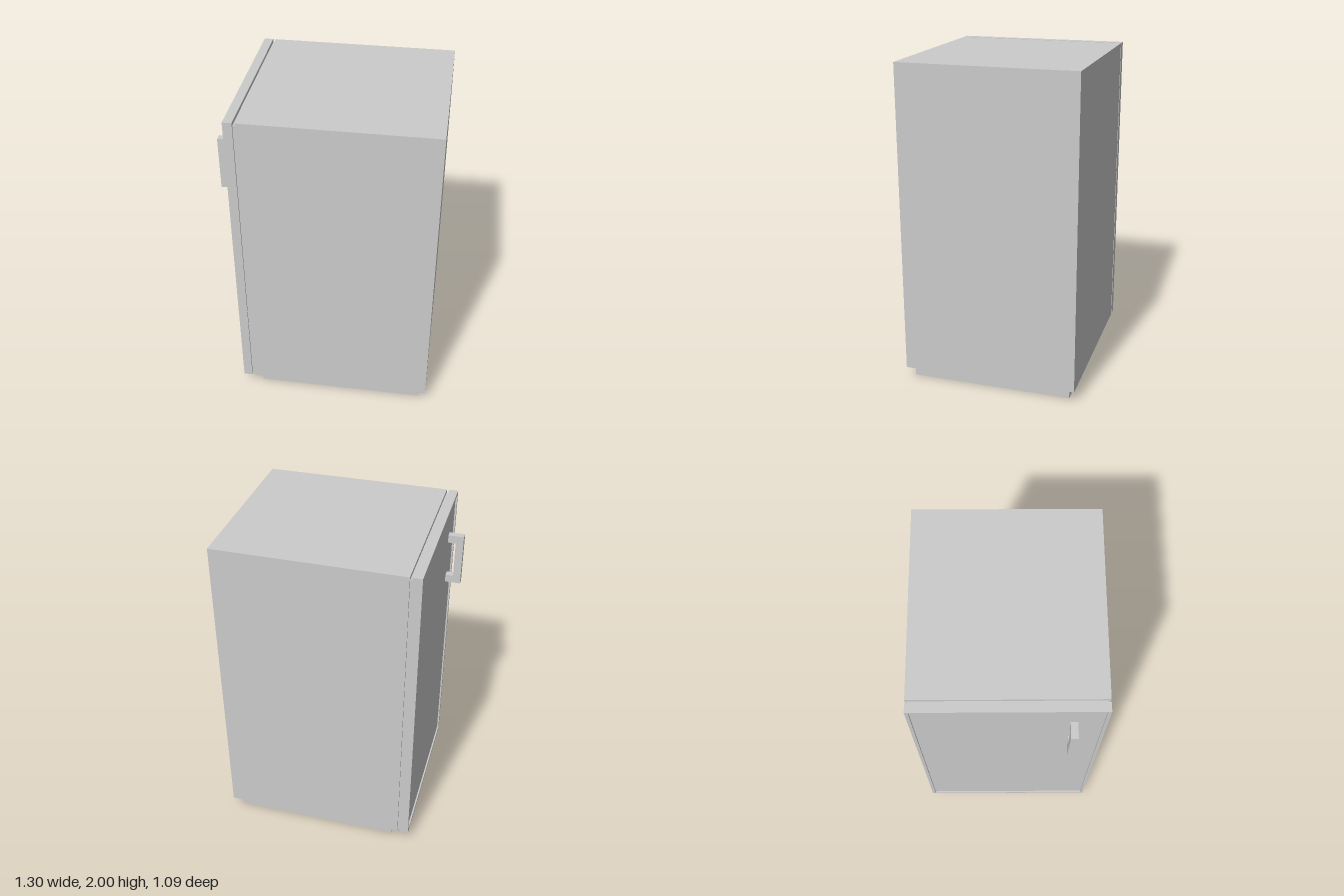
import * as THREE from 'three';

const material = new THREE.MeshStandardMaterial({ color: 0xcccccc, flatShading: true });

// Box given by its minimum and maximum corners
function box(name, [x0, y0, z0], [x1, y1, z1]) {
  const mesh = new THREE.Mesh(new THREE.BoxGeometry(x1 - x0, y1 - y0, z1 - z0), material);
  mesh.position.set((x0 + x1) / 2, (y0 + y1) / 2, (z0 + z1) / 2);
  mesh.name = name;
  return mesh;
}

// Rectangle outline, used for both the door edge and its opening
function rectangle(Type, x0, y0, x1, y1) {
  return new Type([[x0, y0], [x1, y0], [x1, y1], [x0, y1]].map(p => new THREE.Vector2(...p)));
}

export function createModel() {
  const model = new THREE.Group();
  model.name = 'refrigerator';

  const bottom = 0.072, top = 2, halfDepth = 0.543;
  const doorFront = -0.562, doorBack = -0.507, bodyFront = -0.492;
  const recess = 0.01, rim = 0.02;

  // Plinth, cabinet and the seal set back between cabinet and door
  model.add(
    box('plinth', [-0.445, 0, -0.503], [0.6, bottom, 0.503]),
    box('cabinet', [bodyFront, bottom, -halfDepth], [0.648, top, halfDepth]),
    box('doorSeal', [doorBack, bottom + 0.015, -0.533], [bodyFront, top - 0.02, 0.533])
  );

  // Door: slab with a thin raised rim around a shallow panel
  const door = new THREE.Group();
  door.name = 'door';
  door.add(box('doorPanel', [doorFront + recess, bottom, -halfDepth], [doorBack, top, halfDepth]));
  const outline = rectangle(THREE.Shape, -halfDepth, bottom, halfDepth, top);
  outline.holes.push(rectangle(THREE.Path, -halfDepth + rim, bottom + rim, halfDepth - rim, top - rim));
  const rimGeometry = new THREE.ExtrudeGeometry(outline, { depth: recess, bevelEnabled: false });
  rimGeometry.rotateY(-Math.PI / 2);
  const doorRim = new THREE.Mesh(rimGeometry, material);
  doorRim.position.x = doorFront + recess;
  doorRim.name = 'doorRim';
  door.add(doorRim);

  // Square bracket handle, extruded across its width
  const x = doorFront + recess;
  const bracket = new THREE.Shape([
    [x, 1.466], [x, 1.515], [-0.6, 1.515], [-0.6, 1.745],
    [x, 1.745], [x, 1.795], [-0.648, 1.795], [-0.648, 1.466]
  ].map(p => new THREE.Vector2(...p)));
  const handle = new THREE.Mesh(
    new THREE.ExtrudeGeometry(bracket, { depth: 0.042, bevelEnabled: false }), material);
  handle.position.z = 0.34;
  handle.name = 'handle';
  door.add(handle);

  model.add(door);
  return model;
}
